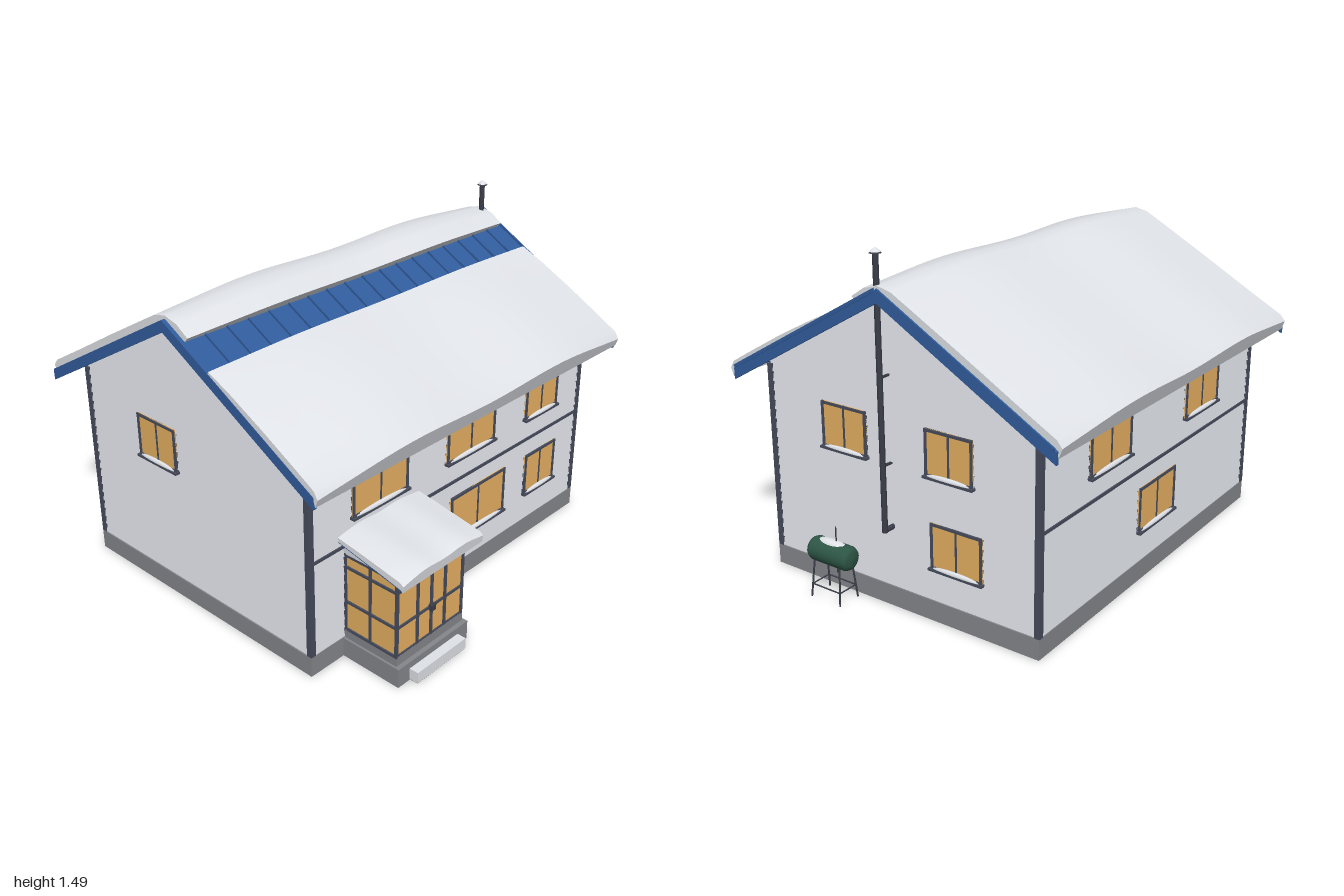
import * as THREE from 'three';
import { mergeGeometries, toCreasedNormals } from 'three/addons/utils/BufferGeometryUtils.js';

const mat = (name, color, side = THREE.FrontSide) => {
  const m = new THREE.MeshStandardMaterial({ color, side });
  m.name = name;
  return m;
};

export function createModel() {
  const wall = mat('paleSiding', 0xd8dbe2), snow = mat('snow', 0xe6e9ee);
  const glass = mat('amberGlass', 0xf4bb68), blue = mat('blueMetal', 0x315d9c);
  const trim = mat('slateTrim', 0x474c5c), stone = mat('foundationGrey', 0x85878b);
  const dark = mat('pipeMetal', 0x3a3e49), green = mat('tankGreen', 0x2d5646);

  const house = new THREE.Group();
  house.name = 'snowyHouse';
  const add = (name, geo, material, parent = house) => {
    const m = new THREE.Mesh(geo, material);
    m.name = name;
    parent.add(m);
    return m;
  };
  // box given by its min and max corners
  const box = (name, material, x0, x1, y0, y1, z0, z1, parent = house) => {
    const m = add(name, new THREE.BoxGeometry(x1 - x0, y1 - y0, z1 - z0), material, parent);
    m.position.set((x0 + x1) / 2, (y0 + y1) / 2, (z0 + z1) / 2);
    return m;
  };
  // round bar between two points
  const bar = (name, material, a, b, r, parent = house) => {
    const p = new THREE.Vector3(...a), q = new THREE.Vector3(...b), d = q.clone().sub(p);
    const m = add(name, new THREE.CylinderGeometry(r, r, d.length(), 12), material, parent);
    m.position.copy(p).add(q).multiplyScalar(0.5);
    m.quaternion.setFromUnitVectors(new THREE.Vector3(0, 1, 0), d.normalize());
    return m;
  };

  const ridgeZ = -0.095, pitch = 0.565, ridgeY = 1.335, eave = 0.785;
  const X0 = -0.905, X1 = 0.85, half = 0.665, wallTop = 0.92;
  const midX = (X0 + X1) / 2;

  // cross-section across the house (distance from ridge, height), extruded along x
  const prism = (name, material, pts, x0, x1) => {
    const s = new THREE.Shape(pts.map(p => new THREE.Vector2(...p)));
    const m = add(name, new THREE.ExtrudeGeometry(s, { depth: x1 - x0, bevelEnabled: false }), material);
    m.rotation.y = Math.PI / 2;
    m.position.set(x0, 0, ridgeZ);
  };
  const chevron = (t, e) => [[-e, ridgeY - e * pitch - t], [0, ridgeY - t], [e, ridgeY - e * pitch - t],
    [e, ridgeY - e * pitch], [0, ridgeY], [-e, ridgeY - e * pitch]];

  // Foundation and wall core
  box('foundation', stone, -0.918, 0.862, 0, 0.088, -0.77, 0.58);
  prism('wallCore', wall, [[-half, 0.08], [half, 0.08], [half, wallTop], [0, 1.31], [-half, wallTop]], X0, X1);

  // Overlapping clapboards; span(y) is the half width of the wall at height y
  const clapboards = (name, top, span, x, z, turn) => {
    const pos = [], step = 0.0415, out = 0.009;
    for (let y = 0.09; y < top - 0.01; y += step) {
      const y1 = Math.min(y + step, top), a = span(y), b = span(y1);
      pos.push(-a, y, out, a, y, out, b, y1, 0, -a, y, out, b, y1, 0, -b, y1, 0);
      pos.push(-a, y, 0, a, y, 0, a, y, out, -a, y, 0, a, y, out, -a, y, out);
    }
    const g = new THREE.BufferGeometry();
    g.setAttribute('position', new THREE.Float32BufferAttribute(pos, 3));
    g.computeVertexNormals();
    const m = add(name, g, wall);
    m.position.set(x, 0, z);
    m.rotation.y = turn;
  };
  const zF = ridgeZ + half, zB = ridgeZ - half, len = (X1 - X0) / 2;
  const gableSpan = y => Math.max(0, Math.min(half, (1.305 - y) / pitch));
  clapboards('frontSiding', wallTop, () => len, midX, zF, 0);
  clapboards('backSiding', wallTop, () => len, midX, zB, Math.PI);
  clapboards('rightSiding', 1.305, gableSpan, X1, ridgeZ, Math.PI / 2);
  clapboards('leftSiding', 1.305, gableSpan, X0, ridgeZ, -Math.PI / 2);

  // Corner boards and belt boards
  for (const x of [-0.917, 0.837]) for (const z of [-0.772, 0.555])
    box('cornerBoard', trim, x, x + 0.025, 0.088, 0.91, z, z + 0.025);
  box('frontBelt', trim, X0, X1, 0.505, 0.518, zF, zF + 0.012);
  box('backBelt', trim, X0, X1, 0.505, 0.518, zB - 0.012, zB);

  // Windows: local +z points out of the wall
  const windowUnit = (x, y, z, turn, w, h) => {
    const g = new THREE.Group();
    g.name = 'window';
    g.position.set(x, y, z);
    g.rotation.y = turn;
    house.add(g);
    const a = w / 2, b = h / 2, f = 0.011;
    box('windowGlass', glass, -a, a, -b, b, 0.004, 0.011, g);
    for (const s of [-1, 1]) {
      box('frameSide', trim, s * (a - f / 2) - f / 2, s * (a - f / 2) + f / 2, -b, b, 0, 0.016, g);
      box('frameRail', trim, -a, a, s * (b - f / 2) - f / 2, s * (b - f / 2) + f / 2, 0, 0.017, g);
    }
    box('mullion', trim, -0.004, 0.004, -b, b, 0, 0.014, g);
    box('sill', trim, -a - 0.006, a + 0.006, -b - 0.006, -b + 0.004, 0, 0.026, g);
    const drift = add('sillSnow', new THREE.SphereGeometry(1, 16, 6, 0, Math.PI * 2, 0, Math.PI / 2), snow, g);
    drift.scale.set(a * 0.92, 0.014, 0.01);
    drift.position.set(0, -b + 0.004, 0.016);
  };
  const up = 0.713, low = 0.328;
  for (const [x, y, w, h] of [[-0.524, up, 0.32, 0.195], [0.042, up, 0.32, 0.195], [0.547, up, 0.24, 0.195],
    [0.107, low, 0.375, 0.215], [0.565, low, 0.23, 0.2]]) windowUnit(x, y, zF, 0, w, h);
  for (const [x, y] of [[0.37, up], [-0.41, up], [-0.027, low]]) windowUnit(x, y, zB, Math.PI, 0.31, 0.2);
  for (const [z, y, w] of [[0.166, up, 0.233], [-0.357, up, 0.226], [-0.387, low, 0.246]])
    windowUnit(X1, y, z, Math.PI / 2, w, 0.195);
  windowUnit(X0, up, -0.3, -Math.PI / 2, 0.24, 0.195);

  // Roof slab, barge boards, standing seams
  prism('roof', blue, chevron(0.028, eave), -0.99, 0.93);
  prism('leftBargeBoard', blue, chevron(0.05, eave + 0.003), -1, -0.985);
  prism('rightBargeBoard', blue, chevron(0.05, eave + 0.003), 0.925, 0.94);
  const slope = Math.atan(pitch), slant = eave / Math.cos(slope);
  for (const s of [-1, 1]) for (let i = 0; i < 18; i++) {
    const seam = add('roofSeam', new THREE.BoxGeometry(0.007, 0.014, slant - 0.01), blue);
    seam.position.set(-0.885 + i * 0.1075, ridgeY - eave * pitch / 2 + 0.004, ridgeZ + s * eave / 2);
    seam.rotation.x = s * slope;
  }

  // Snow sheet lofted along x between a base and a top profile of [z, y], listed back to front
  const snowSheet = (name, x0, x1, base, top, thin) => {
    const N = 40, n = top.length, pos = [];
    const ring = i => {
      const u = i / N * 2 - 1, x = x0 + (x1 - x0) * i / N;
      const w = (1 - u ** 4) * (0.85 - 0.2 * Math.cos(2 * Math.PI * u));
      const k = thin + (1 - thin) * w;
      const t = top.map(([z, y], j) => [x, base[j][1] + (y - base[j][1]) * k, base[j][0] + (z - base[j][0]) * k]);
      return [...t, ...base.map(([z, y]) => [x, y, z]).reverse()];
    };
    const quad = (a, b, c, d) => pos.push(...a, ...b, ...c, ...a, ...c, ...d);
    for (let i = 0; i < N; i++) {
      const p = ring(i), q = ring(i + 1);
      for (let j = 0; j < 2 * n; j++) {
        const m = (j + 1) % (2 * n);
        quad(p[j], p[m], q[m], q[j]);
      }
    }
    const p = ring(0), q = ring(N);
    for (let j = 0; j < n - 1; j++) {
      quad(q[j], q[j + 1], q[2 * n - 2 - j], q[2 * n - 1 - j]);
      quad(p[2 * n - 1 - j], p[2 * n - 2 - j], p[j + 1], p[j]);
    }
    const g = new THREE.BufferGeometry();
    g.setAttribute('position', new THREE.Float32BufferAttribute(pos, 3));
    add(name, toCreasedNormals(g, 0.6), snow);
  };
  snowSheet('frontRoofSnow', -0.998, 0.938,
    [[0.155, 1.192], [0.27, 1.127], [0.43, 1.037], [0.6, 0.94], [0.69, 0.887], [0.7, 0.852]],
    [[0.168, 1.218], [0.29, 1.178], [0.44, 1.108], [0.61, 1.015], [0.7, 0.963], [0.733, 0.938]], 0.4);
  snowSheet('backRoofSnow', -0.982, 0.928,
    [[-0.885, 0.862], [-0.875, 0.892], [-0.7, 0.99], [-0.45, 1.134], [-0.25, 1.247], [-0.15, 1.302], [-0.095, 1.33], [-0.04, 1.304], [0.015, 1.272]],
    [[-0.914, 0.94], [-0.88, 0.965], [-0.7, 1.066], [-0.45, 1.208], [-0.25, 1.318], [-0.165, 1.365], [-0.095, 1.366], [-0.015, 1.358], [0.05, 1.31]], 0.5);

  // Glazed porch
  const pL = -0.728, pR = -0.327, pF = 0.85;
  box('porchFoundation', stone, -0.738, -0.316, 0, 0.085, 0.57, 0.87);
  box('porchFloor', stone, pL, pR, 0.085, 0.125, 0.57, pF);
  box('porchGlass', glass, pL + 0.007, pR - 0.007, 0.125, 0.475, 0.57, pF - 0.007);
  const porchBars = [pL, -0.61, -0.528, -0.446, pR - 0.012];
  porchBars.forEach(x => box('porchPost', trim, x, x + 0.012, 0.12, 0.48, pF - 0.012, pF));
  for (const y of [0.12, 0.252, 0.413, 0.466]) {
    box('porchFrontRail', trim, pL, pR, y, y + 0.011, pF - 0.012, pF - 0.001);
    for (const x of [pL, pR - 0.012]) box('porchSideRail', trim, x, x + 0.012, y, y + 0.011, 0.57, pF);
  }
  for (const x of [pL, pR - 0.012]) {
    for (const z of [0.575, 0.704]) box('porchSidePost', trim, x, x + 0.012, 0.12, 0.48, z, z + 0.011);
    // wedge under the sloping roof
    const cheek = add('porchCheek', new THREE.ExtrudeGeometry(new THREE.Shape([
      new THREE.Vector2(-pF, 0.475), new THREE.Vector2(-0.57, 0.475), new THREE.Vector2(-0.57, 0.54)]),
      { depth: 0.01, bevelEnabled: false }), wall);
    cheek.rotation.y = Math.PI / 2;
    cheek.position.x = x + 0.001;
  }
  box('doorHandle', dark, -0.537, -0.511, 0.245, 0.271, pF - 0.005, pF + 0.012);
  const porchRoof = add('porchRoof', new THREE.BoxGeometry(0.46, 0.014, 0.335), blue);
  porchRoof.position.set(-0.524, 0.508, 0.735);
  porchRoof.rotation.x = 0.215;
  snowSheet('porchRoofSnow', -0.76, -0.287,
    [[0.572, 0.546], [0.68, 0.523], [0.8, 0.498], [0.895, 0.476], [0.902, 0.466]],
    [[0.572, 0.575], [0.68, 0.562], [0.8, 0.542], [0.885, 0.528], [0.908, 0.515]], 0.6);

  // Entry step with packed snow
  box('entryStep', stone, -0.668, -0.382, 0, 0.035, 0.86, 0.908);
  box('stepSnow', snow, -0.672, -0.378, 0.006, 0.055, 0.86, 0.912);

  // Flue pipe on the right gable
  const fx = 0.904, fz = -0.07;
  bar('fluePipe', dark, [fx, 0.345, fz], [fx, 1.46, fz], 0.012);
  bar('flueElbow', dark, [0.85, 0.352, fz], [fx, 0.352, fz], 0.011);
  for (const y of [0.62, 0.98]) box('flueBracket', dark, 0.85, fx, y, y + 0.008, fz - 0.005, fz + 0.005);
  const cap = add('flueCap', new THREE.ConeGeometry(0.024, 0.018, 20), dark);
  cap.position.set(fx, 1.472, fz);
  const capSnow = add('flueCapSnow', new THREE.ConeGeometry(0.021, 0.018, 20), snow);
  capSnow.position.set(fx, 1.477, fz);

  // Fuel tank on splayed legs
  const tx = 0.943, ty = 0.196, tz = 0.182;
  const profile = [[0, -0.11], [0.03, -0.108], [0.045, -0.1], [0.052, -0.085], [0.052, 0.085], [0.045, 0.1], [0.03, 0.108], [0, 0.11]];
  const tank = add('fuelTank', new THREE.LatheGeometry(profile.map(p => new THREE.Vector2(...p)), 24), green);
  tank.rotation.x = Math.PI / 2;
  tank.position.set(tx, ty, tz);
  const tankSnow = add('tankSnow', new THREE.SphereGeometry(1, 20, 8, 0, Math.PI * 2, 0, Math.PI / 2), snow);
  tankSnow.scale.set(0.026, 0.02, 0.078);
  tankSnow.position.set(tx, 0.237, tz);
  for (const s of [-1, 1]) {
    const z0 = tz + s * 0.068, z1 = tz + s * 0.078;
    for (const d of [-1, 1])
      bar('tankLeg', dark, [tx + d * 0.036, 0.165, z0], [tx + d * 0.053, 0, z1], 0.004);
    bar('legBrace', dark, [tx - 0.047, 0.055, z1 - s * 0.003], [tx + 0.047, 0.055, z1 - s * 0.003], 0.003);
    bar('sideBrace', dark, [tx + s * 0.047, 0.055, tz - 0.075], [tx + s * 0.047, 0.055, tz + 0.075], 0.003);
  }
  bar('tankVent', dark, [tx, 0.23, 0.16], [tx, 0.318, 0.16], 0.003);
  bar('tankDrain', dark, [tx, 0.115, 0.16], [tx, 0.16, 0.16], 0.003);
  return house;
}
